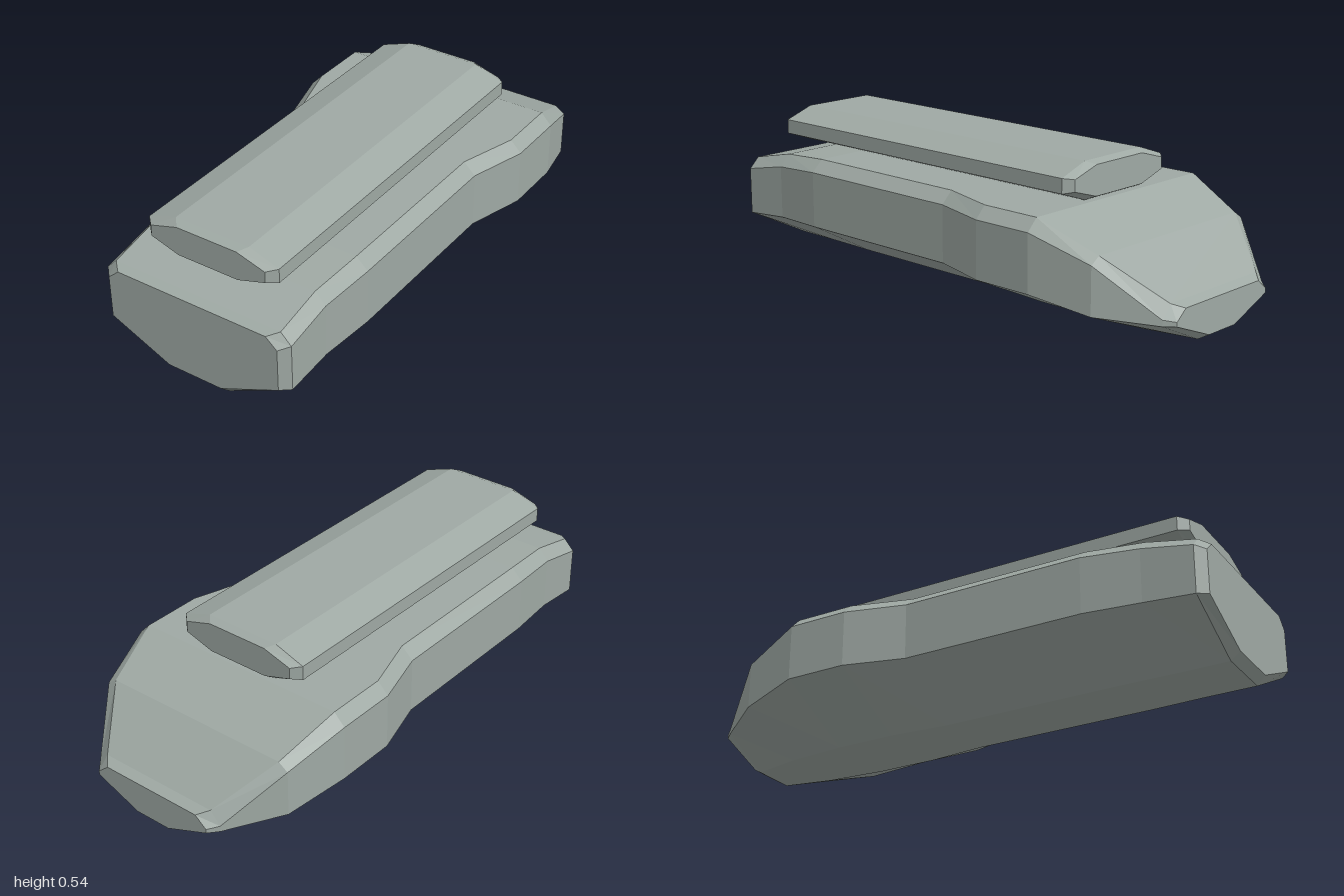
import * as THREE from 'three';

// Eight-sided ring, counter-clockwise seen from the front
function ring([z, w, topW, botW, y0, lo, hi, y1]) {
  const half = [[botW, y0], [w, lo], [w, hi], [topW, y1]];
  const mirrored = half.map(([x, y]) => [-x, y]).reverse();
  return [...half, ...mirrored].map(([x, y]) => [x, y, z]);
}

// Skin the rings from front to back and close both ends
function loft(stations) {
  const rings = stations.map(ring);
  const n = rings[0].length;
  const pos = [];
  const tri = (a, b, c) => pos.push(...a, ...b, ...c);
  for (let s = 0; s < rings.length - 1; s++) {
    const p = rings[s], q = rings[s + 1];
    for (let i = 0; i < n; i++) {
      const j = (i + 1) % n;
      tri(p[i], q[i], p[j]);
      tri(q[i], q[j], p[j]);
    }
  }
  const front = rings[0], back = rings[rings.length - 1];
  for (let i = 1; i < n - 1; i++) {
    tri(front[0], front[i], front[i + 1]);
    tri(back[0], back[i + 1], back[i]);
  }
  const geo = new THREE.BufferGeometry();
  geo.setAttribute('position', new THREE.Float32BufferAttribute(pos, 3));
  geo.computeVertexNormals();
  return geo;
}

export function createModel() {
  const group = new THREE.Group();
  const material = new THREE.MeshStandardMaterial({ color: 0x9fa9a4, flatShading: true });

  const add = (name, stations) => {
    const mesh = new THREE.Mesh(loft(stations), material);
    mesh.name = name;
    group.add(mesh);
  };

  // Hull: z, half width, top half width, bottom half width, bottom, side low, side high, top
  add('hull', [
    [1.0, 0.343, 0.3, 0.108, 0.03, 0.135, 0.295, 0.333],
    [0.967, 0.375, 0.335, 0.115, 0, 0.13, 0.305, 0.345],
    [0.78, 0.375, 0.335, 0.115, 0, 0.145, 0.342, 0.385],
    [0.57, 0.395, 0.35, 0.12, 0, 0.15, 0.357, 0.4],
    [-0.11, 0.397, 0.352, 0.12, 0, 0.15, 0.357, 0.4],
    [-0.33, 0.46, 0.418, 0.14, 0, 0.15, 0.357, 0.4],
    [-0.56, 0.46, 0.418, 0.14, 0, 0.15, 0.357, 0.4],
    [-0.78, 0.405, 0.368, 0.122, 0, 0.11, 0.28, 0.305],
    [-0.965, 0.275, 0.235, 0.083, 0, 0.09, 0.112, 0.157],
    [-1.0, 0.245, 0.2, 0.07, 0.02, 0.09, 0.105, 0.142],
  ]);

  // Flat pad resting on the hull
  add('topPad', [
    [0.9, 0.23, 0.12, 0.12, 0.414, 0.448, 0.49, 0.523],
    [0.868, 0.262, 0.147, 0.147, 0.401, 0.442, 0.495, 0.535],
    [-0.53, 0.262, 0.147, 0.147, 0.401, 0.442, 0.495, 0.535],
    [-0.56, 0.23, 0.12, 0.12, 0.414, 0.448, 0.49, 0.523],
  ]);

  return group;
}
